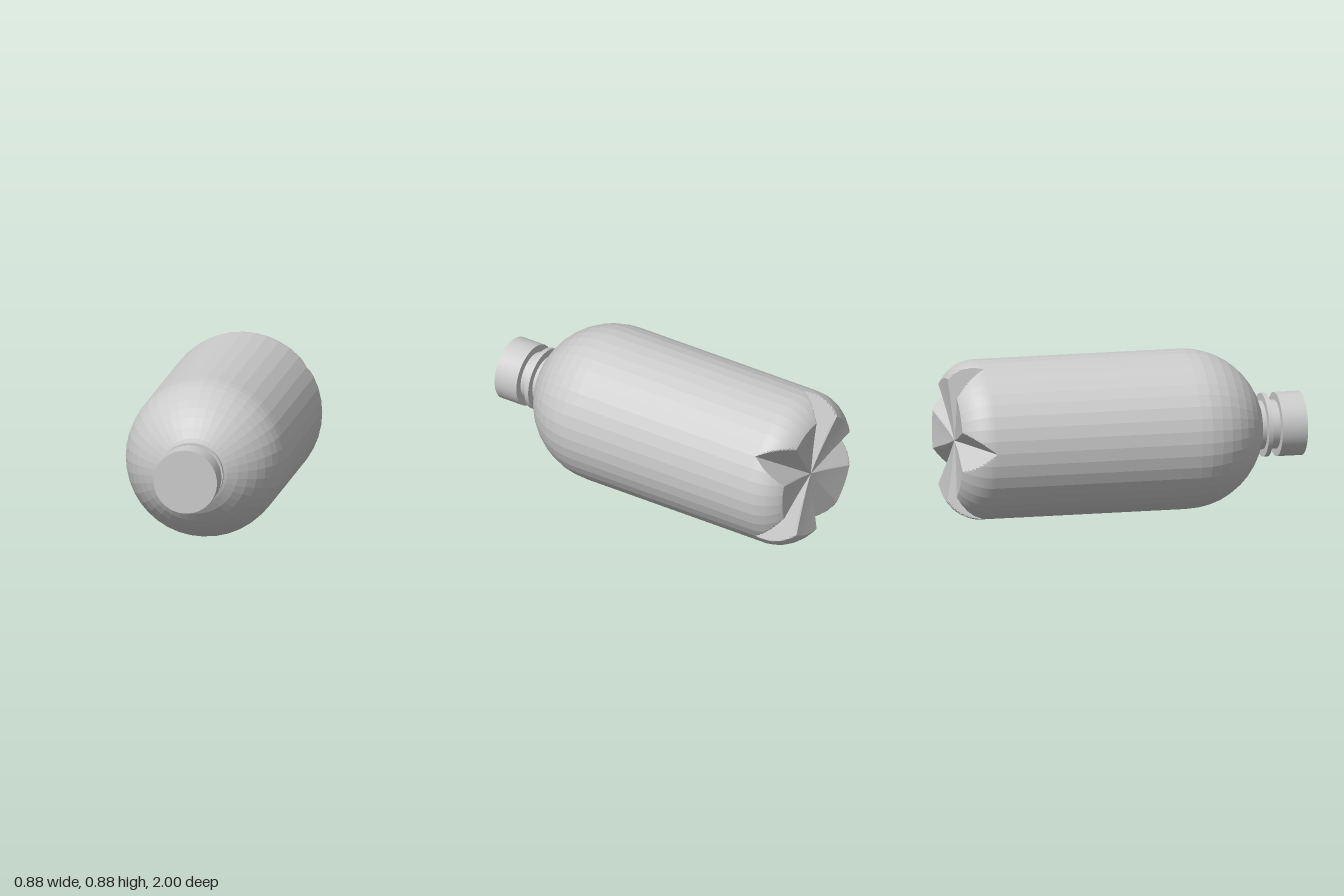
import * as THREE from 'three';

const R = 0.4415;       // body radius, also the height of the axis
const SIDES = 40;       // facets around the body
const flat = new THREE.MeshStandardMaterial({ color: 0xcccccc, flatShading: true, side: THREE.DoubleSide });
const smooth = new THREE.MeshStandardMaterial({ color: 0xcccccc });

// Wall and domed shoulder, turned around the z axis
function bodyGeometry() {
  const pts = [new THREE.Vector2(R, -0.83)];
  const steps = 9, end = Math.acos(0.13 / R);
  for (let i = 0; i <= steps; i++) {
    const a = end * i / steps;
    pts.push(new THREE.Vector2(R * Math.cos(a), 0.335 + R * Math.sin(a)));
  }
  return new THREE.LatheGeometry(pts, SIDES).rotateX(Math.PI / 2);
}

// Base with five feet, parted by V-shaped notches that meet in the middle
function baseGeometry() {
  const rim = 0.345, centreZ = -0.962, tipZ = -0.83;
  const profile = [];
  for (let i = 0; i <= 14; i++) {
    const a = i / 14 * 1.02;
    profile.push([rim + (R - rim) * (Math.cos(a) - Math.cos(1.02)) / (1 - Math.cos(1.02)),
      tipZ - 0.17 * Math.sin(a) / Math.sin(1.02)]);
  }
  for (let i = 1; i <= 10; i++) {
    const r = rim * (1 - i / 10);
    profile.push([r, centreZ - (1 + centreZ) * Math.pow(r / rim, 1.3)]);
  }
  // each notch face is a plane through the centre, the tip and a rim corner
  const notch = Math.PI / 10, slope = (tipZ - centreZ) / R;
  const fall = (-1 - centreZ - slope * rim * Math.cos(notch)) / (rim * Math.sin(notch));

  const n = SIDES * 5, facet = 2 * Math.PI / SIDES, pitch = 2 * Math.PI / 5;
  const pos = [], idx = [];
  profile.forEach(([r, z], i) => {
    for (let j = 0; j <= n; j++) {
      const t = j / n * 2 * Math.PI;
      // keep the outline on the facets of the body
      const inFacet = (j % 5) / 5 * facet - facet / 2;
      const rr = r * Math.cos(facet / 2) / Math.cos(inFacet);
      const d = Math.abs(((t - pitch / 2 + pitch * 5.5) % pitch) - pitch / 2);
      const cut = centreZ + slope * rr * Math.cos(d) + fall * rr * Math.sin(d);
      pos.push(rr * Math.cos(t), rr * Math.sin(t), d < notch + 1e-6 ? Math.max(z, cut) : z);
      if (i < profile.length - 1 && j < n) {
        const a = i * (n + 1) + j, c = a + n + 1;
        idx.push(a, c, a + 1, a + 1, c, c + 1);
      }
    }
  });
  const g = new THREE.BufferGeometry();
  g.setAttribute('position', new THREE.Float32BufferAttribute(pos, 3));
  g.setIndex(idx);
  g.computeVertexNormals();
  return g;
}

// Disc or cylinder along z between two positions
function turned(r, z0, z1) {
  return new THREE.CylinderGeometry(r, r, z1 - z0, 48).rotateX(Math.PI / 2).translate(0, 0, (z0 + z1) / 2);
}

export function createModel() {
  const model = new THREE.Group();
  model.name = 'bottle';
  const add = (name, geometry, material) => {
    const mesh = new THREE.Mesh(geometry, material);
    mesh.name = name;
    mesh.position.y = R;
    model.add(mesh);
  };
  add('body', bodyGeometry(), flat);
  add('base', baseGeometry(), flat);
  add('neck', turned(0.135, 0.72, 0.87), smooth);
  add('collar', turned(0.176, 0.78, 0.805), smooth);
  add('cap', turned(0.177, 0.857, 1), smooth);
  return model;
}
